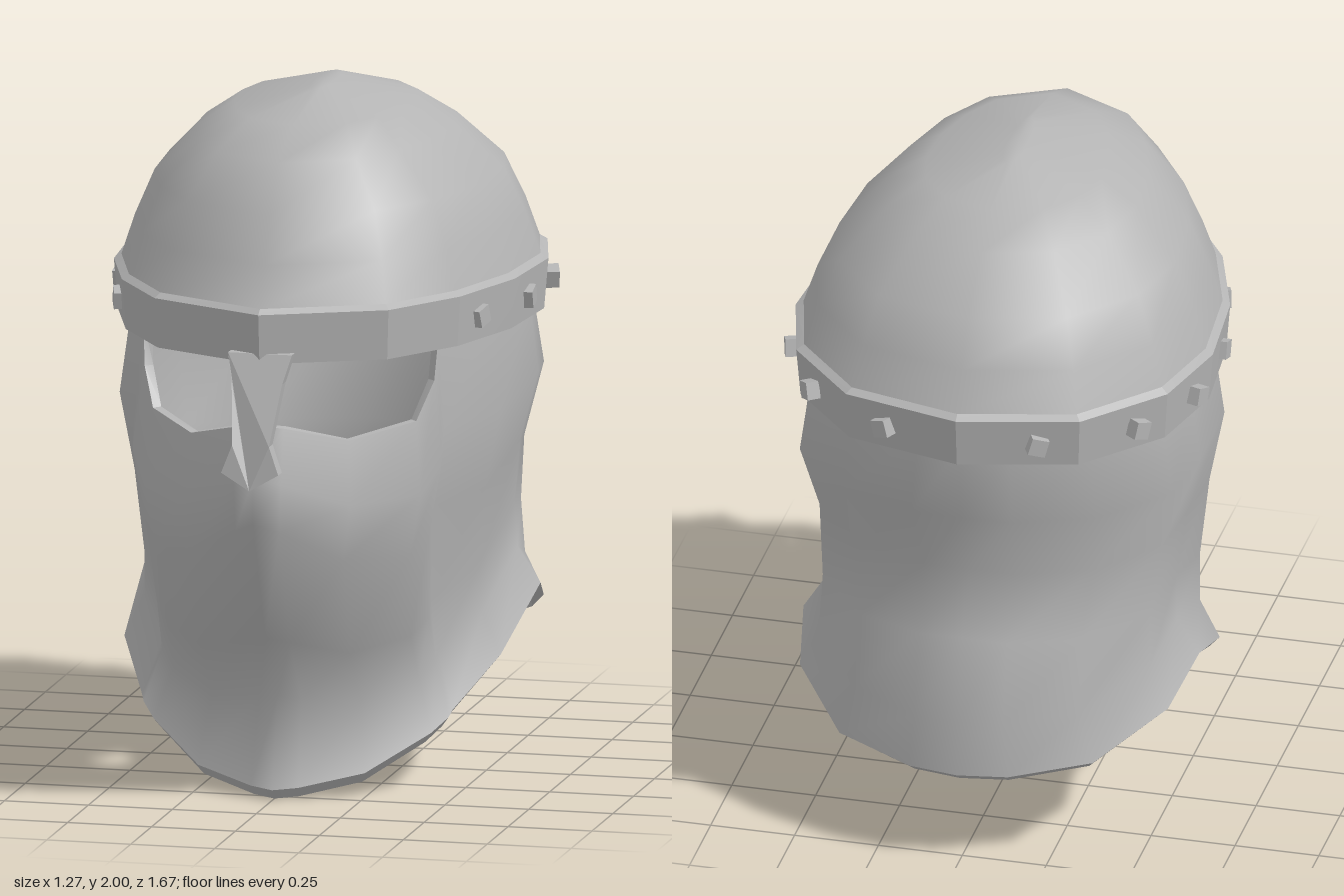
import * as THREE from 'three';
import { toCreasedNormals } from 'three/addons/utils/BufferGeometryUtils.js';

// Joins closed rings of points (listed from top to bottom) into a surface facing outward
function loft(rings) {
  const n = rings[0].length, index = [];
  for (let r = 0; r < rings.length - 1; r++) {
    for (let i = 0; i < n; i++) {
      const a = r * n + i, b = r * n + (i + 1) % n, c = a + n, d = b + n;
      index.push(a, c, b, b, c, d);
    }
  }
  const g = new THREE.BufferGeometry();
  g.setAttribute('position', new THREE.Float32BufferAttribute(rings.flat(2), 3));
  g.setIndex(index);
  g.computeVertexNormals();
  return g;
}

// Completes a half outline (front to back on +x) with its mirror image
const mirrorRing = half => [
  ...half,
  ...half.slice(1, -1).reverse().map(([x, y, z]) => [-x, y, z]),
];

// Brow outline seen from above, as unit x and z
const BROW = [[0, 0.995], [0.56, 0.79], [0.81, 0.49], [0.96, 0.13], [1, -0.26], [0.89, -0.6], [0.56, -0.89], [0, -1]];
const browRing = (y, halfX, front, back) => mirrorRing(
  BROW.map(([x, z]) => [x * halfX, y, (front + back) / 2 + z * (front - back) / 2]));

// Curtain columns from front to back: unit x, unit z, top y, bottom y
const COLUMNS = [
  [0, 1, 1.14, 0.03], [0.12, 0.95, 1.13, 0.035], [0.42, 0.8, 1.08, 0.07], [0.7, 0.56, 1.11, 0.17],
  [0.77, 0.48, 1.22, 0.21], [0.785, 0.455, 1.35, 0.23], [0.95, 0.13, 1.35, 0.36], [1, -0.35, 1.35, 0.5],
  [0.93, -0.6, 1.35, 0.42], [0.64, -0.86, 1.35, 0.33], [0.25, -0.97, 1.35, 0.3], [0, -1, 1.35, 0.3],
];
// Curtain rows: half width, front z, back z, then share of the drop at front, side and back
const ROWS = [
  [0.56, 0.73, 0.76, 0, 0, 0],
  [0.597, 0.79, 0.78, 0.13, 0.27, 0.22],
  [0.55, 0.79, 0.68, 0.25, 0.5, 0.43],
  [0.525, 0.64, 0.77, 0.58, 0.74, 0.6],
  [0.53, 0.49, 0.82, 0.76, 0.88, 0.84],
  [0.59, 0.56, 0.82, 1, 1, 1],
];
function curtainRing([halfX, front, back, dropF, dropS, dropB], scale = 1, lower = 0) {
  return mirrorRing(COLUMNS.map(([ux, uz, top, bottom], i) => {
    const w = uz * uz;
    const drop = dropS * (1 - w) + (uz > 0 ? dropF : dropB) * w;
    const fold = scale * (i % 2 && drop > 0 && drop < 1 ? 0.985 : 1);
    return [
      ux * halfX * fold,
      top + (bottom - lower - top) * drop,
      uz * (uz > 0 ? front : back) * fold,
    ];
  }));
}

export function createModel() {
  const model = new THREE.Group();
  const steel = new THREE.MeshStandardMaterial({ color: 0xb4b4b4, side: THREE.DoubleSide });
  steel.name = 'steel grey';
  const add = (name, geometry, parent = model) => {
    const mesh = new THREE.Mesh(geometry, steel);
    mesh.name = name;
    parent.add(mesh);
    return mesh;
  };

  // Domed skull with a short flat crest
  add('dome', loft([
    browRing(2.0, 0, -0.07, -0.08),
    browRing(2.0, 0.03, 0.07, -0.22),
    browRing(1.945, 0.26, 0.32, -0.41),
    browRing(1.87, 0.37, 0.495, -0.54),
    browRing(1.735, 0.5, 0.59, -0.69),
    browRing(1.6, 0.56, 0.655, -0.76),
    browRing(1.48, 0.6, 0.71, -0.81),
  ]));

  // Faceted brow band
  add('browBand', toCreasedNormals(loft([
    browRing(1.485, 0.595, 0.705, -0.805),
    browRing(1.468, 0.622, 0.73, -0.83),
    browRing(1.32, 0.61, 0.715, -0.815),
    browRing(1.325, 0.55, 0.65, -0.75),
    browRing(1.48, 0.57, 0.67, -0.77),
  ]), 0.25));

  // Square studs, five on each side
  const studs = new THREE.Group();
  studs.name = 'studs';
  model.add(studs);
  for (const side of [1, -1]) {
    for (const [x, z] of [[0.535, 0.225], [0.605, -0.075], [0.605, -0.365], [0.49, -0.605], [0.23, -0.775]]) {
      const stud = add('stud', new THREE.BoxGeometry(0.052, 0.052, 0.04), studs);
      stud.position.set(side * x, 1.392, z);
      stud.rotation.set(0, Math.atan2(side * x / 0.384, (z + 0.05) / 0.6), side * 0.3, 'YXZ');
    }
  }

  // Nose guard, a flat plate bent forward as it descends
  const plate = new THREE.Shape([
    [-0.095, 1.35], [-0.075, 1.27], [-0.055, 1.1], [-0.085, 1.02], [0, 0.97],
    [0.085, 1.02], [0.055, 1.1], [0.075, 1.27], [0.095, 1.35],
  ].map(p => new THREE.Vector2(...p)));
  const nose = new THREE.ExtrudeGeometry(plate, { depth: 0.045, bevelEnabled: false });
  const p = nose.attributes.position;
  for (let i = 0; i < p.count; i++) {
    const y = p.getY(i);
    const bend = y > 1.1 ? 0.775 - (y - 1.1) * 0.46 : 0.775 + (1.1 - y) * 0.12;
    p.setZ(i, p.getZ(i) + bend);
  }
  nose.computeVertexNormals();
  add('noseGuard', nose);

  // Hanging curtain with eye openings cut into its upper front edge
  const outer = ROWS.map(row => curtainRing(row));
  const inner = ROWS.map(row => curtainRing(row, 0.95, 0.03)).reverse();
  const curtain = new THREE.Group();
  curtain.name = 'curtain';
  model.add(curtain);
  add('curtainOutside', loft(outer), curtain);
  add('curtainHem', loft([outer[5], inner[0]]), curtain);
  add('curtainInside', loft(inner), curtain);
  add('eyeRim', toCreasedNormals(loft([inner[5], outer[0]]), 0.4), curtain);

  return model;
}
